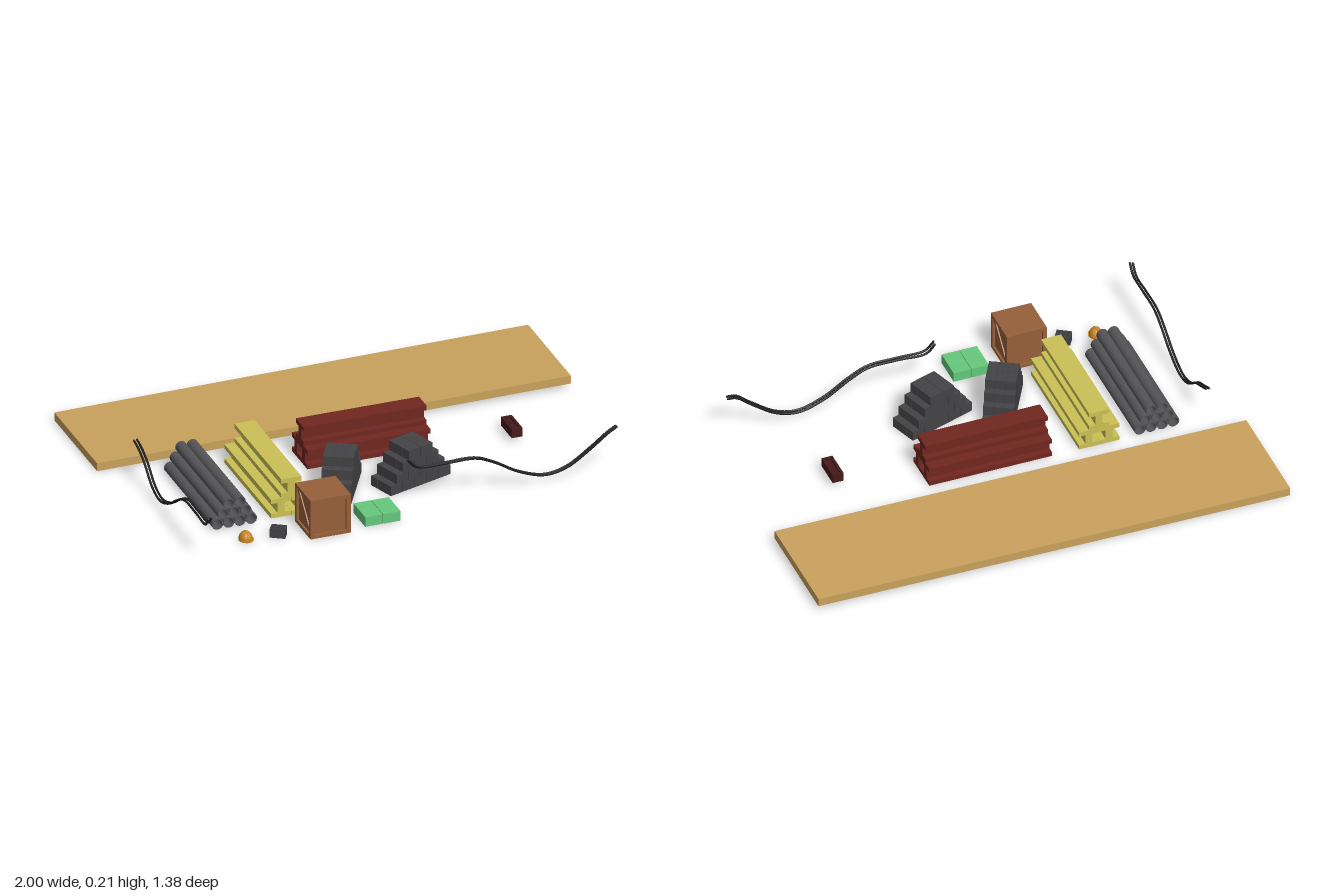
import * as THREE from 'three';

const material = (color) => new THREE.MeshStandardMaterial({ color });
const mats = {
  plank: material(0xc9a25d), pipe: material(0x555558), yellow: material(0xcbc156),
  red: material(0x70271f), crate: material(0x96603a), green: material(0x66c97c),
  block: material(0x444446), rod: material(0x202022), hat: material(0xc8861f), brick: material(0x451a1a),
};
mats.hat.side = THREE.DoubleSide;

function add(parent, name, geometry, mat, x = 0, y = 0, z = 0) {
  const mesh = new THREE.Mesh(geometry, mat);
  mesh.name = name;
  mesh.position.set(x, y, z);
  parent.add(mesh);
  return mesh;
}

function group(parent, name, x = 0, y = 0, z = 0, turn = 0) {
  const g = new THREE.Group();
  g.name = name;
  g.position.set(x, y, z);
  g.rotation.y = turn;
  parent.add(g);
  return g;
}

const box = (w, h, d) => new THREE.BoxGeometry(w, h, d);

// Rectangle path centred on the origin, usable as outline or hole
function rect(PathType, w, h, x = 0, y = 0) {
  const p = new PathType();
  p.moveTo(x - w / 2, y - h / 2);
  p.lineTo(x + w / 2, y - h / 2);
  p.lineTo(x + w / 2, y + h / 2);
  p.lineTo(x - w / 2, y + h / 2);
  p.closePath();
  return p;
}

// I-beam running along z, centred
function beamGeometry(length) {
  const w = 0.0425, t = 0.015, h = 0.0412, f = 0.022;
  const half = [[w, -h], [w, -f], [t, -f], [t, f], [w, f], [w, h]];
  const pts = [...half, ...half.map(([x, y]) => [-x, -y])];
  const shape = new THREE.Shape(pts.map(([x, y]) => new THREE.Vector2(x, y)));
  return new THREE.ExtrudeGeometry(shape, { depth: length, bevelEnabled: false }).translate(0, 0, -length / 2);
}

// Two beams with a third on top
function beamStack(parent, name, mat, length, x, z, turn) {
  const stack = group(parent, name, x, 0, z, turn);
  const geo = beamGeometry(length);
  for (const [bx, by] of [[-0.0427, 0.0412], [0.0427, 0.0412], [0, 0.1238]]) add(stack, 'beam', geo, mat, bx, by, 0);
}

// Stepped pile, three blocks deep, each layer one block shorter
function blockPile(parent, name, x, z, turn) {
  const pile = group(parent, name, x, 0, z, turn);
  const geo = box(0.0595, 0.042, 0.0405);
  for (let layer = 0; layer < 4; layer++) {
    const count = 5 - layer;
    for (let i = 0; i < count; i++)
      for (let j = -1; j <= 1; j++)
        add(pile, 'block', geo, mats.block, (i - (count - 1) / 2) * 0.061, 0.021 + layer * 0.0425, j * 0.0415);
  }
}

// Pair of bent rods running along x from 0 to 0.88
function rodPair(parent, name, x, z, turn, stretch, endY, drift) {
  const pair = group(parent, name, x, 0, z, turn);
  const path = [[0, 0.2], [0.035, 0.165], [0.15, 0.163], [0.28, 0.16], [0.36, 0.125], [0.46, 0.065],
    [0.57, 0.03], [0.66, 0.048], [0.76, 0.115], [0.83, endY - 0.015], [0.87, endY]];
  for (const side of [-1, 1]) {
    const pts = path.map(([px, py], i) => new THREE.Vector3(
      px * stretch, py + side * (i < 2 ? 0.003 : 0.001), side * 0.0065 + drift * Math.sin(px * 9) - (i > 9 ? drift * 3 : 0)));
    const curve = new THREE.CatmullRomCurve3(pts);
    add(pair, 'rod', new THREE.TubeGeometry(curve, 60, 0.005, 6), mats.rod);
    for (const end of [0, 1]) add(pair, 'rodEnd', new THREE.SphereGeometry(0.005, 6, 4), mats.rod, ...curve.getPoint(end).toArray());
  }
}

export function createModel() {
  const model = new THREE.Group();
  model.name = 'constructionMaterials';

  // Long board, one end slightly raised
  const board = add(model, 'board', box(2, 0.035, 0.47), mats.plank, 0, 0.0275, -0.455);
  board.rotation.z = 0.01;

  // Hollow pipes stacked 4, 3, 2
  const pipes = group(model, 'pipeStack', -0.665, 0, 0.155);
  const ring = [[0.019, -0.265], [0.0237, -0.265], [0.0237, 0.265], [0.019, 0.265], [0.019, -0.265]];
  const pipeGeo = new THREE.LatheGeometry(ring.map(([x, y]) => new THREE.Vector2(x, y)), 16)
    .rotateX(Math.PI / 2).toNonIndexed();
  pipeGeo.computeVertexNormals();
  for (let row = 0; row < 3; row++)
    for (let i = 0; i < 4 - row; i++)
      add(pipes, 'pipe', pipeGeo, mats.pipe, (i - (3 - row) / 2) * 0.0475, 0.0237 + row * 0.0412, 0);

  // Steel beams
  beamStack(model, 'yellowBeams', mats.yellow, 0.515, -0.42, 0.147, 0);
  beamStack(model, 'redBeams', mats.red, 0.52, 0.04, -0.024, Math.PI / 2);

  // Block piles
  blockPile(model, 'blockPileLeft', -0.158, 0.262, 1.06);
  blockPile(model, 'blockPileRight', 0.129, 0.289, 0.32);

  // Loose block with six holes
  const blockShape = rect(THREE.Shape, 0.062, 0.042);
  for (const i of [-1, 0, 1]) for (const j of [-1, 1])
    blockShape.holes.push(rect(THREE.Path, 0.014, 0.014, i * 0.019, j * 0.0095));
  const loose = group(model, 'hollowBlock', -0.532, 0, 0.555, -0.56);
  add(loose, 'block', new THREE.ExtrudeGeometry(blockShape, { depth: 0.04, bevelEnabled: false }).rotateX(-Math.PI / 2), mats.block);

  // Crate with framed, braced sides
  const crate = group(model, 'crate', -0.34, 0.085, 0.545);
  add(crate, 'crateCore', box(0.152, 0.168, 0.152), mats.crate);
  for (const y of [-0.0775, 0.0775]) add(crate, 'cratePanel', box(0.17, 0.015, 0.17), mats.crate, 0, y, 0);
  for (const x of [-1, 1]) for (const z of [-1, 1])
    add(crate, 'cratePost', box(0.018, 0.142, 0.018), mats.crate, x * 0.076, 0, z * 0.076);
  for (let i = 0; i < 4; i++) {
    const side = group(crate, 'crateSide', 0, 0, 0, i * Math.PI / 2);
    if (i % 2) add(side, 'crateBrace', box(0.018, 0.185, 0.006), mats.crate, 0, 0, 0.078).rotation.z = Math.PI / 4;
  }

  // Low green packages, two wide and two deep
  const packs = group(model, 'greenPackages', -0.11, 0, 0.54);
  for (const x of [-1, 1]) {
    add(packs, 'package', box(0.0735, 0.042, 0.039), mats.green, x * 0.0378, 0.021, -0.0455);
    add(packs, 'package', box(0.0735, 0.042, 0.0895), mats.green, x * 0.0378, 0.021, 0.0205);
  }

  // Hard hat with ridge and front brim
  const hat = group(model, 'hardHat', -0.665, 0.006, 0.542);
  const dome = add(hat, 'hatDome', new THREE.SphereGeometry(1, 20, 8, 0, Math.PI * 2, 0, Math.PI / 2), mats.hat);
  dome.scale.set(0.028, 0.034, 0.032);
  const brim = add(hat, 'hatBrim', new THREE.CylinderGeometry(0.03, 0.03, 0.003, 20, 1), mats.hat, 0, 0, 0.004);
  brim.scale.z = 1.15;
  const ridge = add(hat, 'hatRidge', new THREE.TorusGeometry(0.032, 0.003, 6, 16, Math.PI), mats.hat);
  ridge.rotation.y = Math.PI / 2;

  // Single brick with a recess in its top
  const brick = group(model, 'brick', 0.635, 0.022, 0.08);
  const brickRim = rect(THREE.Shape, 0.046, 0.12);
  brickRim.holes.push(rect(THREE.Path, 0.024, 0.095));
  add(brick, 'brickBase', box(0.046, 0.03, 0.12), mats.brick, 0, 0.015, 0);
  add(brick, 'brickRim', new THREE.ExtrudeGeometry(brickRim, { depth: 0.008, bevelEnabled: false })
    .rotateX(-Math.PI / 2), mats.brick, 0, 0.03, 0);

  // Bent reinforcing rods
  rodPair(model, 'frontRods', 0.04, 0.495, 0, 1.01, 0.185, 0.004);
  rodPair(model, 'sideRods', -0.872, 0.685, Math.PI / 2, 0.93, 0.16, 0.001);

  return model;
}
